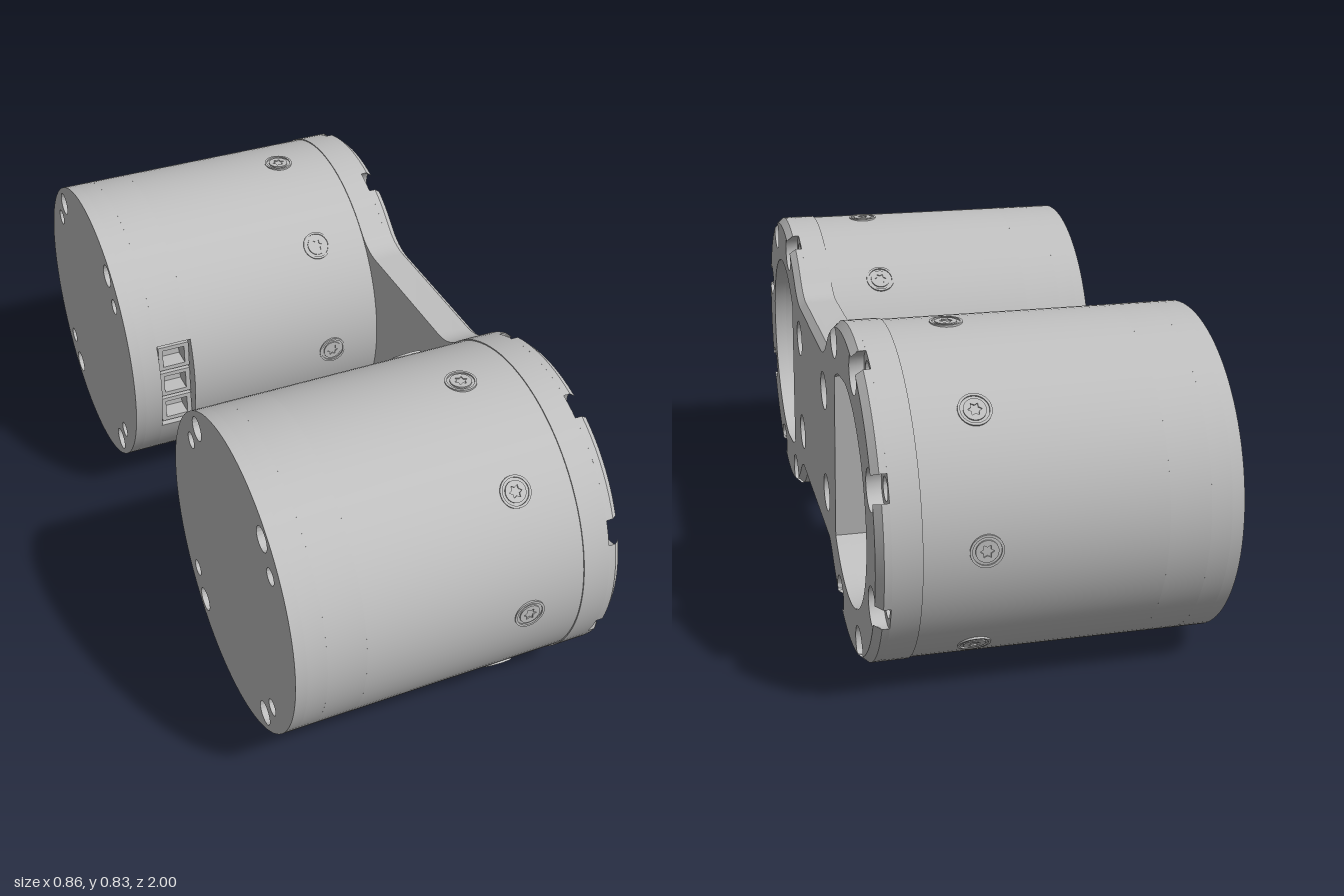
import * as THREE from 'three';
import { toCreasedNormals } from 'three/addons/utils/BufferGeometryUtils.js';

const R = 0.415;      // plate lobe radius
const BODY_R = 0.412; // motor housing radius
const CZ = 0.585;     // distance of each housing axis from the centre
const NECK = 0.26;    // half height of the neck
const FZ = 0.2, FR = 0.14; // fillet centre offset and radius
const rad = THREE.MathUtils.degToRad;

export function createModel() {
  const grey = new THREE.MeshStandardMaterial({ color: 0xc0c0c0 });
  grey.name = 'satin grey';

  const mesh = (name, geo, parent) => {
    const m = new THREE.Mesh(geo, grey);
    m.name = name;
    parent.add(m);
    return m;
  };
  const disc = (r, u = 0, v = 0, Type = THREE.Shape) => {
    const s = new Type();
    s.absarc(u, v, r, 0, Math.PI * 2, false);
    return s;
  };
  const hole = (r, u, v) => disc(r, u, v, THREE.Path);
  const polar = (r, deg) => [r * Math.cos(rad(deg)), r * Math.sin(rad(deg))];

  // Extrude a profile along +x from x0 to x1; profile u runs along -z, v along y
  const extrudeX = (shape, x0, x1, { segs = 48, steps = 1, edit } = {}) => {
    const g = new THREE.ExtrudeGeometry(shape, { depth: x1 - x0, bevelEnabled: false, curveSegments: segs, steps });
    if (edit) edit(g);
    g.rotateY(Math.PI / 2);
    g.translate(x0, 0, 0);
    return toCreasedNormals(g, 0.45);
  };

  // Dogbone outline, optionally with open screw notches in the rim
  const dogbone = (notched) => {
    const pts = [];
    const end = 180 - THREE.MathUtils.radToDeg(Math.atan2(NECK + FR, CZ - FZ));
    const nc = 0.375, nr = 0.05, half = 4.5;
    const lobe = (side) => {
      const put = (x, y) => pts.push(new THREE.Vector2(side * (CZ + x), side * y));
      const arc = (a, b) => {
        const n = Math.max(2, Math.ceil((b - a) / 4));
        for (let i = 0; i <= n; i++) put(...polar(R, a + (b - a) * i / n));
      };
      let a = -end;
      if (notched) {
        for (const c of [-112.5, -67.5, -22.5, 22.5, 67.5, 112.5]) {
          arc(a, c - half);
          for (let i = 1; i < 16; i++) {
            const t = -40 - 280 * i / 16;
            const [px, py] = polar(nr, t + c), [cx, cy] = polar(nc, c);
            put(cx + px, cy + py);
          }
          a = c + half;
        }
      }
      arc(a, end);
      // fillet from the lobe into the neck, then the fillet into the next lobe
      const f = 180 - end;
      for (let i = 1; i <= 8; i++) {
        const t = -f + (f - 90) * i / 8;
        const [px, py] = polar(FR, t);
        put(FZ - CZ + px, NECK + FR + py);
      }
      for (let i = 0; i < 8; i++) {
        const t = -90 + (f - 90) * i / 8;
        const [px, py] = polar(FR, t);
        put(-FZ - CZ + px, NECK + FR + py);
      }
    };
    lobe(1);
    lobe(-1);
    return new THREE.Shape(pts);
  };

  // Round recess cut off by a slanted chord on the neck side
  const recess = (side) => {
    const p = new THREE.Path();
    const turn = side < 0 ? 0 : Math.PI;
    p.absarc(side * CZ, 0, 0.286, rad(45.7) + turn, rad(300) + turn, false);
    p.closePath();
    return p;
  };

  // Chamfer: pull the outermost outline vertices of the top face inward
  const chamfer = (depth, c) => (g) => {
    const p = g.attributes.position;
    for (let i = 0; i < p.count; i++) {
      if (p.getZ(i) < depth - 1e-4) continue;
      let x = p.getX(i), y = p.getY(i);
      const s = Math.sign(x) || 1, t = Math.sign(y) || 1;
      const dx = x - s * CZ, d = Math.hypot(dx, y);
      const fx = x - s * FZ, fy = y - t * (NECK + FR), fd = Math.hypot(fx, fy);
      if (Math.abs(x) > 0.29 && d > R - c) {
        x = s * CZ + dx * (R - c) / d;
        y *= (R - c) / d;
      } else if (Math.abs(x) < 0.3 && Math.abs(fd - FR) < 0.002) {
        x = s * FZ + fx * (FR + c) / fd;
        y = t * (NECK + FR) + fy * (FR + c) / fd;
      }
      p.setXY(i, x, y);
    }
  };

  const model = new THREE.Group();
  model.name = 'twinMotorBracket';
  const root = new THREE.Group();
  root.name = 'assembly';
  root.position.y = R;
  model.add(root);

  // Connecting plate: lower layer with screw holes, upper layer with counterbores
  const lower = dogbone(false), upper = dogbone(true);
  for (const side of [-1, 1]) {
    lower.holes.push(recess(side));
    upper.holes.push(recess(side));
    for (let k = 0; k < 8; k++) {
      const [u, v] = polar(0.375, 22.5 + 45 * k);
      lower.holes.push(hole(0.028, side * CZ + u, v));
    }
    for (const t of [1, -1]) {
      const [u, v] = polar(0.375, 157.5);
      upper.holes.push(hole(0.05, side * (CZ + u), t * v));
    }
  }
  mesh('plateBase', extrudeX(lower, 0.325, 0.395, { segs: 24 }), root);
  mesh('plateFace', extrudeX(upper, 0.395, 0.43, { segs: 24, steps: 2, edit: chamfer(0.035, 0.016) }), root);

  // One motor; the second is the same turned half a revolution about x
  const buildMotor = () => {
    const motor = new THREE.Group();

    // End cap with paired screw holes
    const cap = disc(BODY_R);
    for (const su of [1, -1]) for (const sv of [1, -1]) {
      const [a, b] = polar(0.365, 54), [c, d] = polar(0.345, 40);
      cap.holes.push(hole(0.032, su * a, sv * b), hole(0.022, su * c, sv * d));
      const screw = mesh('endScrew', new THREE.CylinderGeometry(0.02, 0.02, 0.02, 16), motor);
      screw.rotation.z = Math.PI / 2;
      screw.position.set(-0.405, sv * b, -su * a);
    }
    mesh('endCap', extrudeX(cap, -0.43, -0.4), motor);
    mesh('housingRear', extrudeX(disc(BODY_R), -0.4, -0.35), motor);

    // Band with the connector pocket on the inner side
    const band = new THREE.Shape();
    band.absarc(0, 0, BODY_R, rad(20), rad(340), false);
    band.lineTo(0.33, -0.141);
    band.lineTo(0.33, 0.141);
    mesh('housingPocketBand', extrudeX(band, -0.35, -0.25), motor);
    mesh('housingFront', extrudeX(disc(BODY_R), -0.25, 0.325), motor);

    // Three open sockets in the pocket
    for (let i = -1; i <= 1; i++) {
      const s = new THREE.Shape([[-0.045, -0.04], [0.045, -0.04], [0.045, 0.04], [-0.045, 0.04]].map(p => new THREE.Vector2(...p)));
      s.holes.push(new THREE.Path([[-0.032, -0.028], [-0.032, 0.028], [0.032, 0.028], [0.032, -0.028]].map(p => new THREE.Vector2(...p))));
      const g = new THREE.ExtrudeGeometry(s, { depth: 0.052, bevelEnabled: false });
      g.rotateY(Math.PI);
      mesh('socket', g, motor).position.set(-0.3, i * 0.09, -0.33);
    }

    // Output disc on the recess floor
    const rotor = disc(0.268);
    for (let k = 0; k < 6; k++) rotor.holes.push(hole(0.028, ...polar(0.22, 60 * k)));
    for (let k = 0; k < 3; k++) rotor.holes.push(hole(0.036, ...polar(0.175, 90 + 120 * k)));
    mesh('outputDisc', extrudeX(rotor, 0.324, 0.335), motor);

    // Star-socket screws around the housing
    const star = new THREE.Path();
    for (let i = 0; i < 12; i++) {
      const [x, y] = polar(i % 2 ? 0.01 : 0.017, -30 * i);
      i ? star.lineTo(x, y) : star.moveTo(x, y);
    }
    star.closePath();
    const head = disc(0.027);
    head.holes.push(star);
    const rim = disc(0.04);
    rim.holes.push(hole(0.034, 0, 0));
    const opts = { depth: 0.013, bevelEnabled: false, curveSegments: 16 };
    const headGeo = toCreasedNormals(new THREE.ExtrudeGeometry(head, opts), 0.5);
    const rimGeo = toCreasedNormals(new THREE.ExtrudeGeometry(rim, opts), 0.5);
    for (let k = 0; k < 8; k++) {
      const screw = new THREE.Group();
      screw.name = 'sideScrew';
      mesh('screwHead', headGeo, screw);
      mesh('screwRim', rimGeo, screw);
      const a = k * Math.PI / 4;
      screw.position.set(0.18, Math.sin(a) * 0.402, Math.cos(a) * 0.402);
      screw.rotation.x = -a;
      motor.add(screw);
    }
    motor.position.z = CZ;
    return motor;
  };

  ['frontMotor', 'rearMotor'].forEach((name, i) => {
    const pivot = new THREE.Group();
    pivot.name = name;
    pivot.add(buildMotor());
    pivot.rotation.x = i * Math.PI;
    root.add(pivot);
  });

  return model;
}
